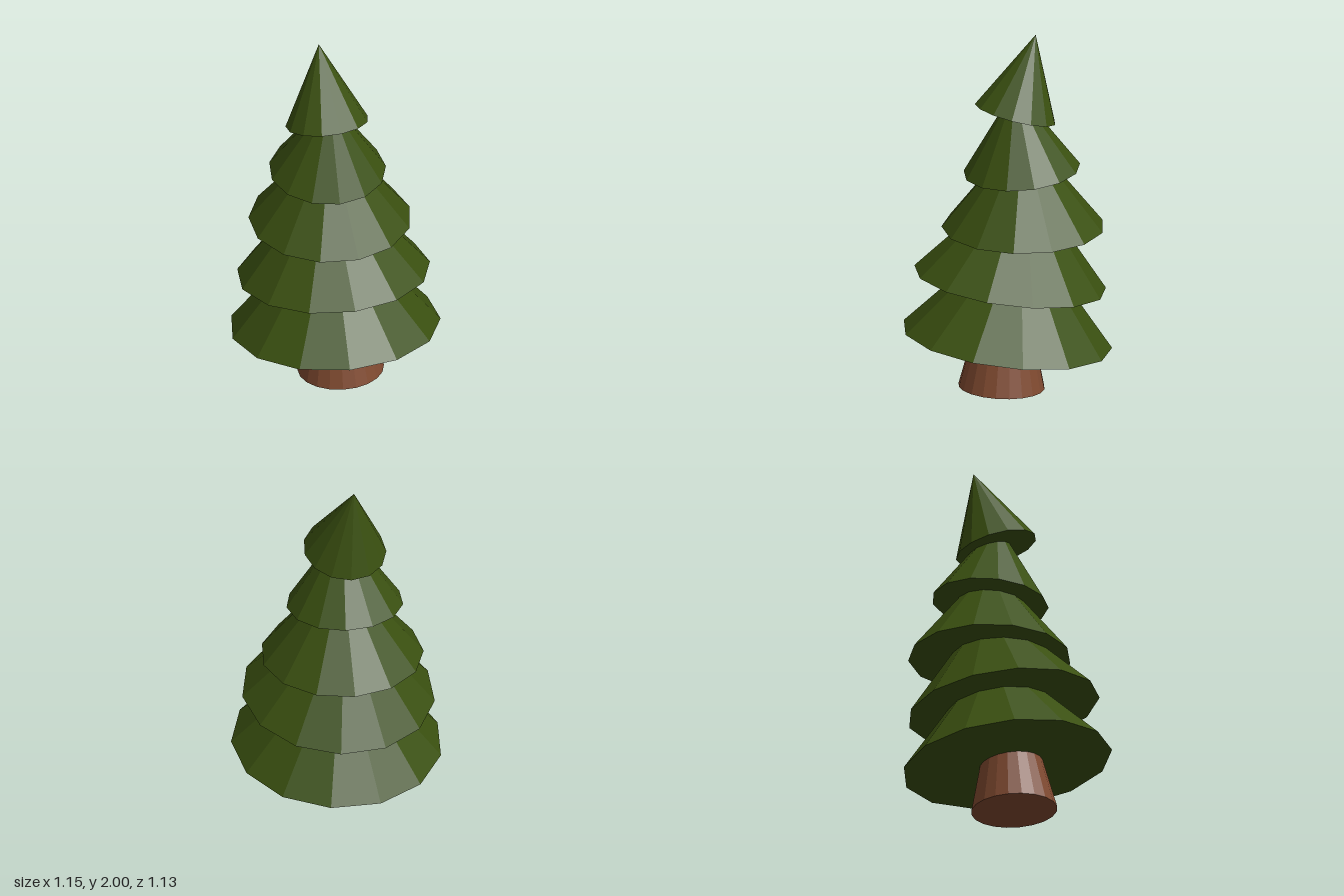
import * as THREE from 'three';

// Foliage cones, bottom to top: base centre, radius, height, yaw of the corners, tilt about x and z
const TIERS = [
  { pos: [0, 0.285, 0.002], r: 0.577, h: 0.67, yaw: 0.26, rx: -0.123, rz: -0.01 },
  { pos: [0, 0.617, -0.018], r: 0.529, h: 0.62, yaw: 0.345, rx: -0.138, rz: 0 },
  { pos: [0.01, 0.916, -0.093], r: 0.445, h: 0.56, yaw: -0.01, rx: 0, rz: 0 },
  { pos: [-0.006, 1.24, -0.093], r: 0.32, h: 0.48, yaw: 0.33, rx: 0.079, rz: 0.01 },
  { pos: [-0.02, 1.565, -0.062], r: 0.228, h: 0.453, yaw: 0, rx: -0.28, rz: 0 },
];

// Tapered solid standing on its base centre, then tilted
function tapered(name, material, rTop, sides, { pos, r, h, yaw, rx, rz }) {
  const geometry = new THREE.CylinderGeometry(rTop, r, h, sides);
  geometry.translate(0, h / 2, 0).rotateY(yaw);
  const mesh = new THREE.Mesh(geometry, material);
  mesh.name = name;
  mesh.position.set(...pos);
  mesh.rotation.set(rx, 0, rz);
  return mesh;
}

export function createModel() {
  const tree = new THREE.Group();
  tree.name = 'pineTree';
  const green = new THREE.MeshStandardMaterial({ color: 0x3a5010, flatShading: true });
  const brown = new THREE.MeshStandardMaterial({ color: 0x804a30, flatShading: true });

  // Leaning trunk, its top hidden inside the lowest tier
  tree.add(tapered('trunk', brown, 0.13, 20,
    { pos: [0.018, 0.016, 0.045], r: 0.236, h: 0.46, yaw: 0, rx: -0.055, rz: 0.018 }));

  // Stacked, unevenly tilted foliage cones
  TIERS.forEach((tier, i) => tree.add(tapered(`foliageTier${i + 1}`, green, 0, 13, tier)));
  return tree;
}
